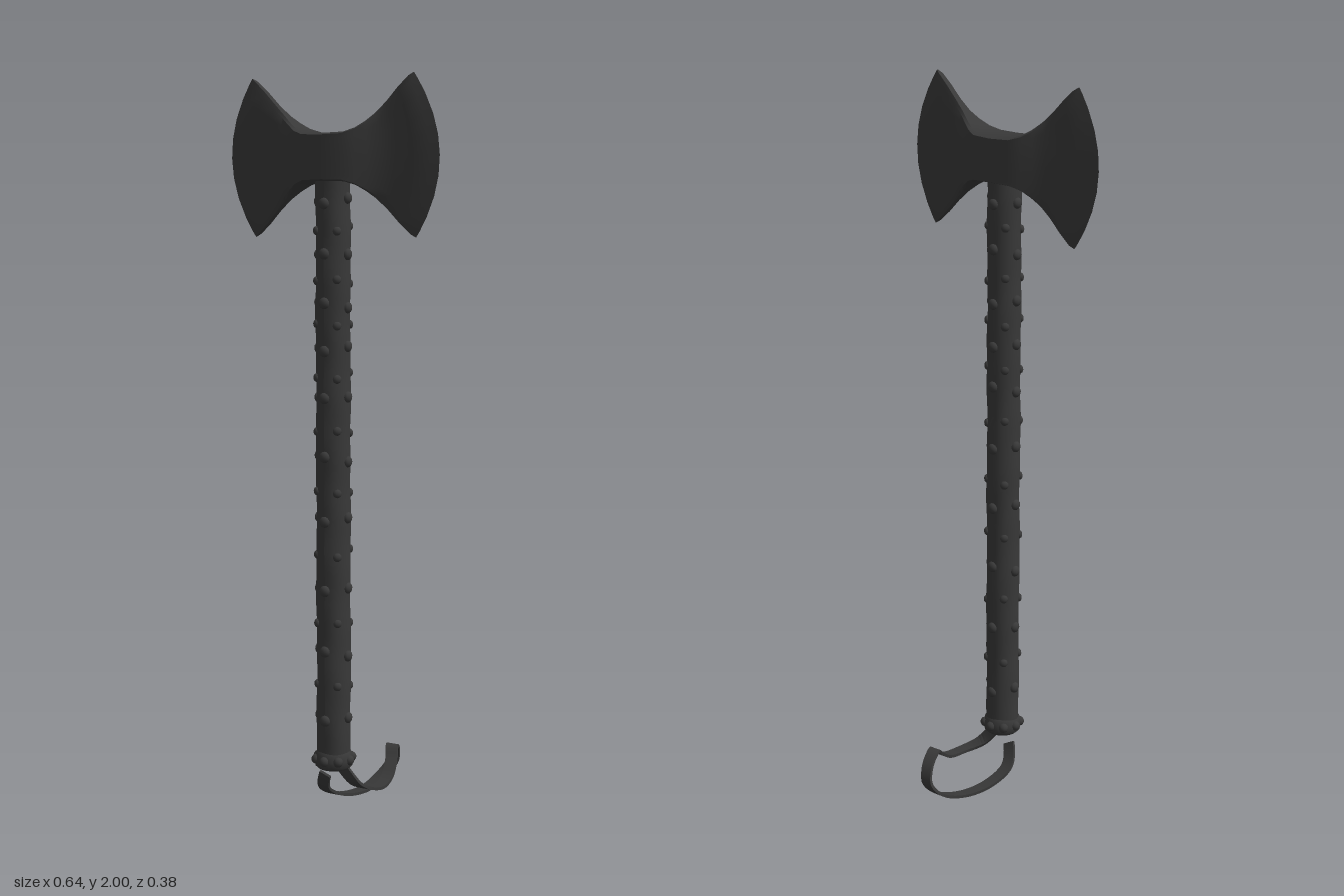
import * as THREE from 'three';
import { toCreasedNormals } from 'three/addons/utils/BufferGeometryUtils.js';

const dark = new THREE.MeshStandardMaterial({ color: 0x383838 });
const strapMat = new THREE.MeshStandardMaterial({ color: 0x383838, side: THREE.DoubleSide });

// Skins a list of equal-length closed rings of points, with end caps.
function loft(rings) {
  const n = rings[0].length, pos = [], idx = [];
  rings.forEach(r => r.forEach(p => pos.push(...p)));
  for (let i = 0; i < rings.length - 1; i++) {
    for (let j = 0; j < n; j++) {
      const a = i * n + j, b = i * n + (j + 1) % n;
      idx.push(a, b, a + n, b, b + n, a + n);
    }
  }
  const last = (rings.length - 1) * n;
  for (let j = 1; j < n - 1; j++) idx.push(0, j + 1, j, last, last + j, last + j + 1);
  const g = new THREE.BufferGeometry();
  g.setAttribute('position', new THREE.Float32BufferAttribute(pos, 3));
  g.setIndex(idx);
  return toCreasedNormals(g, 0.6);
}

function add(parent, name, geo, mat = dark) {
  const m = new THREE.Mesh(geo, mat);
  m.name = name;
  parent.add(m);
  return m;
}

// Double-bitted head: each station is [tip x, half height, bulge of the arc, half thickness].
function headGeometry() {
  const half = [
    [0.06, 0.064, 0, 0.059], [0.09, 0.074, 0.004, 0.046], [0.115, 0.09, 0.01, 0.032],
    [0.14, 0.11, 0.018, 0.019], [0.17, 0.138, 0.03, 0.013], [0.205, 0.174, 0.045, 0.012],
    [0.236, 0.202, 0.061, 0.01], [0.248, 0.21, 0.072, 0.002],
  ];
  const stations = [
    ...half.map(([x, h, b, t]) => [-x, h, -b, t]).reverse(),
    [0, 0.062, 0, 0.064],
    ...half,
  ];
  const steps = [-1, -0.93, -0.75, -0.5, -0.25, 0, 0.25, 0.5, 0.75, 0.93, 1];
  return loft(stations.map(([x, h, bulge, t]) => {
    const side = sign => steps.map(s => {
      const edge = Math.abs(s) === 1 ? 0.75 : 1;
      return [x + bulge * (1 - s * s), s * h, sign * t * edge];
    });
    return [...side(-1), ...side(1).reverse()];
  }));
}

// Slightly uneven round shaft
function shaftGeometry() {
  const g = new THREE.CylinderGeometry(0.046, 0.046, 1.7, 24, 60);
  const p = g.attributes.position;
  for (let i = 0; i < p.count; i++) {
    const x = p.getX(i), y = p.getY(i), z = p.getZ(i), a = Math.atan2(z, x);
    const k = 1 + 0.025 * Math.sin(3 * a + y * 17) + 0.02 * Math.sin(y * 41 + Math.cos(a) * 2);
    p.setXYZ(i, x * k, y, z * k);
  }
  g.computeVertexNormals();
  return g;
}

// Flat strap swept along a closed path, its width lying as near to x as possible
function strapGeometry() {
  const path = new THREE.CatmullRomCurve3([
    [0.015, 0.14, 0.12], [0.06, 0.085, 0.1], [0.088, 0.066, 0.05], [0.082, 0.075, -0.02],
    [0.062, 0.11, -0.08], [0.04, 0.135, -0.12], [0.018, 0.11, -0.17], [0.004, 0.07, -0.186],
    [-0.014, 0.035, -0.16], [-0.028, 0.008, -0.08], [-0.048, 0.015, 0.01],
    [-0.058, 0.05, 0.08], [-0.035, 0.1, 0.115], [-0.01, 0.14, 0.125],
  ].map(p => new THREE.Vector3(...p)));
  const rings = [], count = 72;
  for (let i = 0; i <= count; i++) {
    const u = (i / count) * 13 / 14;
    const c = path.getPoint(u), t = path.getTangent(u);
    const w = new THREE.Vector3(1, 0, 0).addScaledVector(t, -t.x).normalize();
    const n = new THREE.Vector3().crossVectors(t, w);
    rings.push([[-1, -1], [1, -1], [1, 1], [-1, 1]].map(([a, b]) =>
      c.clone().addScaledVector(w, a * 0.017).addScaledVector(n, b * 0.004).toArray()));
  }
  return loft(rings);
}

export function createModel() {
  const group = new THREE.Group();
  const axe = new THREE.Group();
  axe.name = 'axe';
  axe.position.z = 0.125;
  group.add(axe);

  const head = add(axe, 'axeHead', headGeometry());
  head.position.y = 1.785;
  head.rotation.z = 0.02;

  add(axe, 'shaft', shaftGeometry()).position.y = 0.99;

  // Rows of rounded studs, alternate rows turned by an eighth
  const studs = new THREE.Group();
  studs.name = 'studs';
  axe.add(studs);
  const studGeo = new THREE.SphereGeometry(0.014, 10, 8);
  function stud(y, a, size) {
    const s = add(studs, 'stud', studGeo);
    s.position.set(Math.sin(a) * 0.045, y, Math.cos(a) * 0.045);
    s.rotation.y = a;
    s.scale.set(size, size, 0.75 * size);
  }
  const rows = [0.27, 0.36, 0.455, 0.54, 0.635, 0.73, 0.82, 0.89, 0.985, 1.06,
    1.155, 1.21, 1.28, 1.34, 1.395, 1.46, 1.535, 1.6, 1.67];
  rows.forEach((y, r) => {
    for (let k = 0; k < 4; k++) {
      stud(y + 0.008 * Math.sin(k * 2.3 + r), (k + (r % 2) / 2) * Math.PI / 2, r % 2 ? 0.85 : 1.1);
    }
  });

  // Pommel: rounded band with a ring of knobs
  const profile = [[0, 0.13], [0.042, 0.13], [0.051, 0.138], [0.053, 0.155], [0.05, 0.172], [0.044, 0.18]]
    .map(p => new THREE.Vector2(...p));
  add(axe, 'pommel', new THREE.LatheGeometry(profile, 24));
  for (let k = 0; k < 8; k++) {
    const knob = add(axe, 'pommelKnob', studGeo);
    const a = k * Math.PI / 4;
    knob.position.set(Math.sin(a) * 0.049, 0.157, Math.cos(a) * 0.049);
  }

  add(group, 'wristStrap', strapGeometry(), strapMat);
  return group;
}
